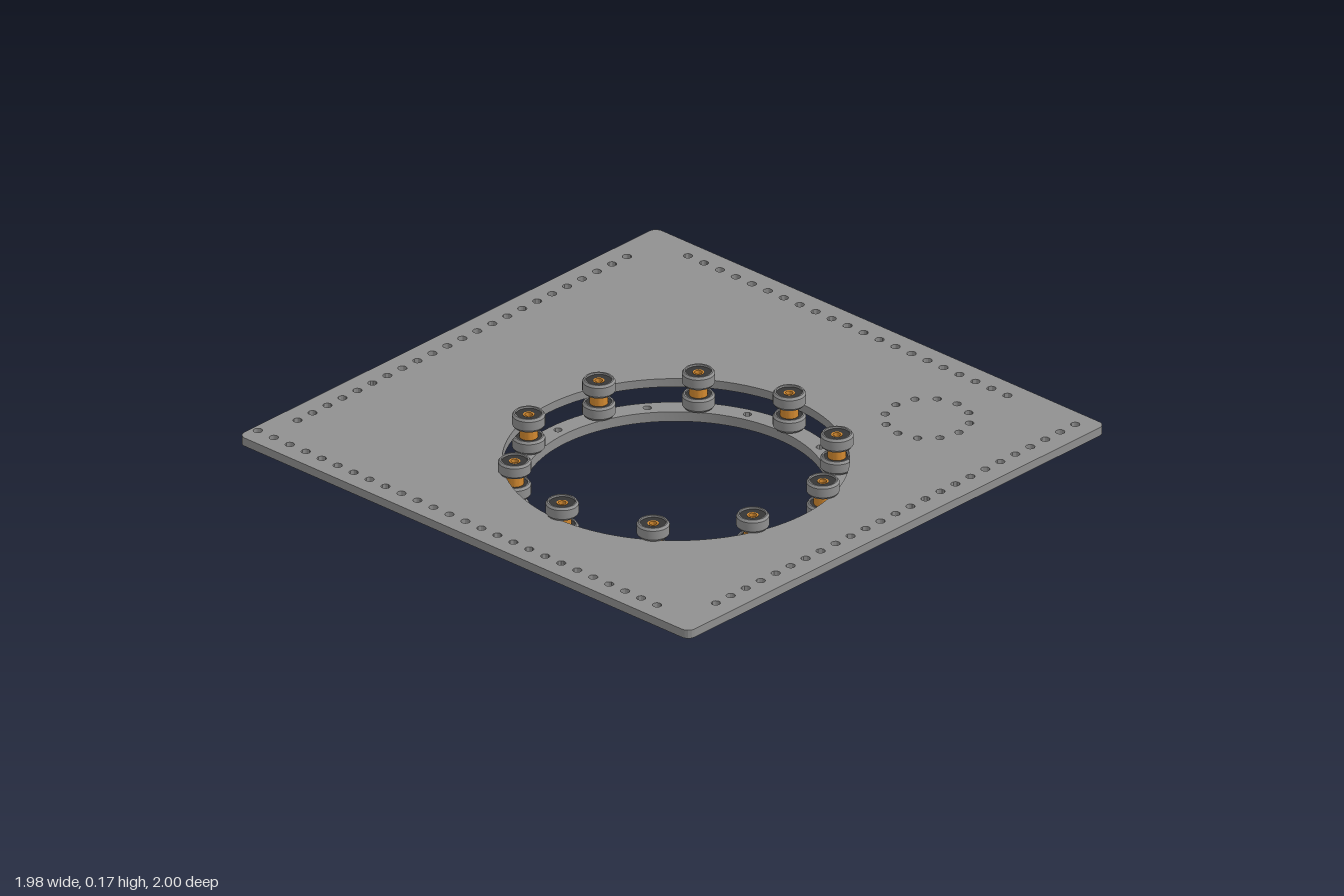
import * as THREE from 'three';
import { toCreasedNormals } from 'three/addons/utils/BufferGeometryUtils.js';

const CX = -0.142, CZ = 0.15;      // centre of the big opening
const R_OPEN = 0.563, R_WHEEL = 0.53, TILT = 0.014;
const STEP = 0.0709;               // pitch of the edge holes

function addHole(shape, x, z, r) {
  const hole = new THREE.Path();
  hole.absarc(x, z, r, 0, Math.PI * 2, true);
  shape.holes.push(hole);
}

// Flat sheet lying in XZ, from a shape drawn as (x, z)
function sheet(shape, bottom, top, segments) {
  const g = new THREE.ExtrudeGeometry(shape, { depth: top - bottom, bevelEnabled: false, curveSegments: segments });
  g.rotateX(Math.PI / 2);
  g.translate(0, top, 0);
  return toCreasedNormals(g, 0.6);
}

// Closed ring turned from a cross-section of [radius, height] points
function turned(points, segments = 32) {
  const pts = [...points, points[0]].map(([r, y]) => new THREE.Vector2(r, y));
  return toCreasedNormals(new THREE.LatheGeometry(pts, segments), 0.5);
}

function tube(inner, outer, y0, y1) {
  return turned([[inner, y0], [outer, y0], [outer, y1], [inner, y1]]);
}

// Outer tyre of one wheel half, chamfered at both rims
function tyre(y0, y1) {
  return turned([[0.043, y0], [0.048, y0], [0.054, y0 + 0.008], [0.054, y1 - 0.008], [0.048, y1], [0.043, y1]]);
}

export function createModel() {
  const model = new THREE.Group();
  const grey = new THREE.MeshStandardMaterial({ name: 'grey metal', color: 0x909090 });
  const dark = new THREE.MeshStandardMaterial({ name: 'dark bearing', color: 0x363636 });
  const orange = new THREE.MeshStandardMaterial({ name: 'orange brass', color: 0xd48a30 });

  const add = (parent, name, geometry, material) => {
    const mesh = new THREE.Mesh(geometry, material);
    mesh.name = name;
    parent.add(mesh);
    return mesh;
  };

  // Base plate with rounded corners
  const plate = new THREE.Shape();
  const w = 0.988, d = 1, c = 0.03;
  plate.absarc(w - c, d - c, c, 0, Math.PI / 2, false);
  plate.absarc(-w + c, d - c, c, Math.PI / 2, Math.PI, false);
  plate.absarc(-w + c, -d + c, c, Math.PI, Math.PI * 1.5, false);
  plate.absarc(w - c, -d + c, c, Math.PI * 1.5, Math.PI * 2, false);
  addHole(plate, CX, CZ, R_OPEN);

  // Rows of small holes: start x, start z, direction, count
  const rows = [
    [-0.92, -0.976, 0, 1, 26],
    [0.918, -0.79, 0, 1, 21],
    [-0.78, -0.931, 1, 0, 23],
    [-0.78, 0.926, 1, 0, 25],
  ];
  for (const [x, z, dx, dz, count] of rows) {
    for (let i = 0; i < count; i++) addHole(plate, x + dx * i * STEP, z + dz * i * STEP, 0.015);
  }
  // Circle of mounting holes
  for (let i = 0; i < 12; i++) {
    const a = i * Math.PI / 6;
    addHole(plate, 0.624 + 0.14 * Math.cos(a), 0.549 + 0.14 * Math.sin(a), 0.014);
  }
  add(model, 'basePlate', sheet(plate, 0.09, 0.12, 48), grey);

  // Turning ring, drilled under and between the wheels
  const ring = new THREE.Shape();
  ring.absarc(0, 0, R_OPEN - 0.001, 0, Math.PI * 2, false);
  addHole(ring, 0, 0, 0.494);
  for (let i = 0; i < 20; i++) {
    const a = i * Math.PI / 10 + TILT;
    addHole(ring, R_WHEEL * Math.cos(a), R_WHEEL * Math.sin(a), 0.0135);
  }
  add(model, 'turningRing', sheet(ring, 0, 0.035, 48), grey).position.set(CX, 0, CZ);

  // Grooved wheels running on the edge of the opening
  const upperTyre = tyre(0.122, 0.17), lowerTyre = tyre(0.04, 0.088);
  const upperBearing = tube(0.018, 0.0435, 0.127, 0.163);
  const lowerBearing = tube(0.018, 0.0435, 0.043, 0.083);
  const bushing = tube(0.0125, 0.0185, 0.034, 0.164);
  const spacer = tube(0.018, 0.03, 0.083, 0.127);
  const foot = tube(0.018, 0.03, 0.034, 0.043);
  for (let i = 0; i < 10; i++) {
    const a = i * Math.PI / 5 + TILT;
    const wheel = new THREE.Group();
    wheel.name = 'wheel' + (i + 1);
    add(wheel, 'upperTyre', upperTyre, grey);
    add(wheel, 'lowerTyre', lowerTyre, grey);
    add(wheel, 'upperBearing', upperBearing, dark);
    add(wheel, 'lowerBearing', lowerBearing, dark);
    add(wheel, 'bushing', bushing, orange);
    add(wheel, 'spacer', spacer, orange);
    add(wheel, 'foot', foot, grey);
    wheel.position.set(CX + R_WHEEL * Math.cos(a), 0, CZ + R_WHEEL * Math.sin(a));
    model.add(wheel);
  }
  return model;
}
